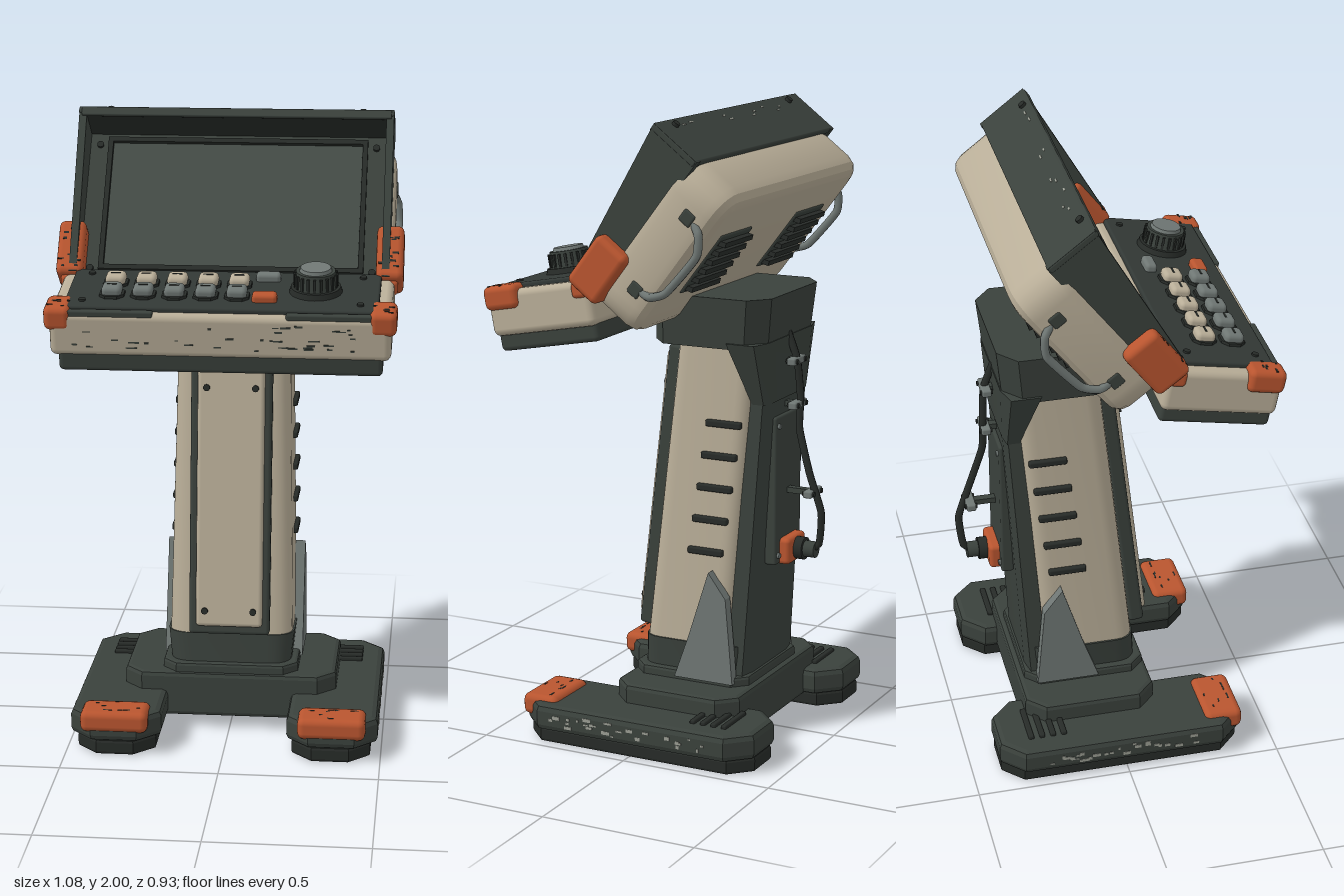
import * as THREE from 'three';
import { toCreasedNormals } from 'three/addons/utils/BufferGeometryUtils.js';
import { RoundedBoxGeometry } from 'three/addons/geometries/RoundedBoxGeometry.js';

const paint = (name, color) => Object.assign(new THREE.MeshStandardMaterial({ color }), { name });
const dark = paint('dark green grey', 0x3a413c), black = paint('near black', 0x272b28);
const panelGrey = paint('panel grey', 0x323835), glass = paint('screen', 0x444c46);
const beige = paint('beige', 0xb9ae98), orange = paint('orange', 0xb9552f);
const grey = paint('steel grey', 0x6f7774), worn = paint('worn metal', 0x9a9c92);

let seed = 7;
const rnd = () => (seed = (seed * 16807) % 2147483647) / 2147483647;
const span = (a, b) => a + (b - a) * rnd();
const lerp = THREE.MathUtils.lerp;

function add(parent, name, geo, mat, x = 0, y = 0, z = 0) {
  const m = new THREE.Mesh(geo, mat);
  m.name = name;
  m.position.set(x, y, z);
  parent.add(m);
  return m;
}
const box = (w, h, d, r = 0.012) => new RoundedBoxGeometry(w, h, d, 2, Math.min(r, w * 0.45, h * 0.45, d * 0.45));
const plain = (w, h, d) => new THREE.BoxGeometry(w, h, d);
const rod = (r1, r2, h, n = 20) => new THREE.CylinderGeometry(r1, r2, h, n);
const pair = (fn) => [-1, 1].forEach(fn);

// Rectangle outline with cut or rounded corners
function outline(w, d, cut, round) {
  const s = new THREE.Shape(), a = w / 2, b = d / 2;
  const corner = (cx, cy, x, y) => round ? s.quadraticCurveTo(cx, cy, x, y) : s.lineTo(x, y);
  s.moveTo(-a + cut, -b); s.lineTo(a - cut, -b); corner(a, -b, a, -b + cut);
  s.lineTo(a, b - cut); corner(a, b, a - cut, b);
  s.lineTo(-a + cut, b); corner(-a, b, -a, b - cut);
  s.lineTo(-a, -b + cut); corner(-a, -b, -a + cut, -b);
  return s;
}
// Horizontal slab with cut corners and bevelled rims, resting on y = 0
function slab(w, h, d, cut, bevel) {
  return new THREE.ExtrudeGeometry(outline(w - 2 * bevel, d - 2 * bevel, cut, false), {
    depth: h - 2 * bevel, bevelSize: bevel, bevelThickness: bevel, bevelSegments: 2,
  }).rotateX(-Math.PI / 2).translate(0, bevel, 0);
}
// Column whose half width and front/back depth blend between two levels [y, halfWidth, zBack, zFront]
function tapered(a, b, corner = 0.2, round = true) {
  const g = new THREE.ExtrudeGeometry(outline(1, 1, corner, round), { depth: 1, bevelEnabled: false, curveSegments: 6 });
  g.rotateX(-Math.PI / 2);
  const p = g.attributes.position;
  for (let i = 0; i < p.count; i++) {
    const t = p.getY(i), v = a.map((q, k) => lerp(q, b[k], t));
    p.setXYZ(i, p.getX(i) * 2 * v[1], v[0], lerp(v[2], v[3], p.getZ(i) + 0.5));
  }
  return toCreasedNormals(g, 0.6);
}
// Plate in the side plane from [z, y] points
function sidePlate(pts, thick) {
  const s = new THREE.Shape(pts.map(([z, y]) => new THREE.Vector2(-z, y)));
  return new THREE.ExtrudeGeometry(s, { depth: thick, bevelEnabled: false })
    .rotateY(Math.PI / 2).translate(-thick / 2, 0, 0);
}
const tube = (pts, r) => new THREE.TubeGeometry(
  new THREE.CatmullRomCurve3(pts.map((p) => new THREE.Vector3(...p)), false, 'catmullrom', 0.25), 40, r, 8);

function buildBase(g) {
  pair((s) => {
    add(g, 'footPad', slab(0.25, 0.05, 0.79, 0.06, 0.01), black, s * 0.342, 0, -0.013);
    add(g, 'foot', slab(0.29, 0.085, 0.8, 0.06, 0.02), dark, s * 0.345, 0.045, -0.013);
    add(g, 'footCap', box(0.215, 0.07, 0.125, 0.022), orange, s * 0.345, 0.11, 0.33);
    for (let i = 0; i < 4; i++) add(g, 'footRib', box(0.15, 0.016, 0.018, 0.005), black, s * 0.345, 0.133, -0.2 - i * 0.036);
    for (let i = 0; i < 26; i++)
      add(g, 'footWear', plain(0.003, span(0.004, 0.012), span(0.006, 0.028)), worn, s * 0.49, span(0.068, 0.108), span(-0.3, 0.27));
    for (let i = 0; i < 7; i++)
      add(g, 'capWear', plain(span(0.01, 0.03), 0.003, 0.005), black, s * span(0.27, 0.42), 0.1445, span(0.29, 0.37));
  });
  add(g, 'bridge', slab(0.69, 0.15, 0.43, 0.05, 0.015), dark, 0, 0.04, -0.085);
  add(g, 'collar', slab(0.44, 0.04, 0.4, 0.04, 0.01), dark, 0, 0.18, -0.08);
}

function buildColumn(g) {
  add(g, 'columnShell', tapered([0.3, 0.2, -0.22, 0.09], [1.3, 0.18, -0.3, -0.02]), beige);
  add(g, 'columnBoot', tapered([0.2, 0.195, -0.262, 0.1], [0.315, 0.206, -0.26, 0.092]), dark);
  add(g, 'spine', tapered([0.2, 0.185, -0.27, -0.19], [1.3, 0.155, -0.335, -0.275], 0.15, false), dark);
  add(g, 'spineFlare', tapered([1.1, 0.16, -0.325, -0.27], [1.3, 0.23, -0.335, -0.2], 0.15, false), dark);
  add(g, 'columnHead', tapered([1.28, 0.22, -0.33, 0.055], [1.44, 0.235, -0.347, 0.05], 0.14, false), dark);

  // Long front cover leaning with the shell
  const cover = new THREE.Group();
  cover.name = 'frontCover';
  cover.position.set(0, 0.79, 0.04);
  cover.rotation.x = -0.118;
  g.add(cover);
  add(cover, 'coverFrame', box(0.26, 0.94, 0.05, 0.012), dark, 0, 0, 0.018);
  add(cover, 'coverPanel', box(0.215, 0.885, 0.03, 0.014), beige, 0, 0, 0.043);
  pair((s) => pair((t) => add(cover, 'coverScrew', rod(0.011, 0.011, 0.01, 10).rotateX(Math.PI / 2), black,
    s * 0.078, t > 0 ? 0.335 : -0.39, 0.06)));

  pair((s) => {
    for (let i = 0; i < 5; i++) {
      const y = 0.62 + i * 0.104;
      add(g, 'sideVent', box(0.02, 0.022, 0.122, 0.006), black, s * (0.198 - i * 0.002), y, -0.137 - i * 0.0145);
    }
    add(g, 'gusset', sidePlate([[-0.04, 0.2], [-0.09, 0.34], [-0.16, 0.56], [-0.22, 0.48], [-0.245, 0.2]], 0.035), grey, s * 0.21, 0, 0);
  });
}

function buildCable(g) {
  add(g, 'rearPlate', box(0.19, 0.48, 0.04, 0.008), dark, 0, 0.81, -0.312);
  pair((s) => pair((t) => add(g, 'plateScrew', rod(0.009, 0.009, 0.01, 10).rotateX(Math.PI / 2), grey, s * 0.078, 0.81 + t * 0.21, -0.334)));
  add(g, 'socket', box(0.13, 0.085, 0.07, 0.014), orange, 0, 0.61, -0.33);
  add(g, 'plugRing', rod(0.036, 0.036, 0.03).rotateX(Math.PI / 2), black, 0, 0.612, -0.378);
  add(g, 'plug', rod(0.026, 0.026, 0.06).rotateX(Math.PI / 2), dark, 0, 0.612, -0.4);
  add(g, 'cable', tube([[0, 0.612, -0.41], [0, 0.635, -0.44], [0.01, 0.74, -0.45], [0.012, 0.86, -0.41], [0, 1.0, -0.368],
    [-0.01, 1.1, -0.366], [0, 1.22, -0.358], [0, 1.31, -0.325]], 0.012), black);
  [[0.8, -0.415], [1.08, -0.36], [1.22, -0.355]].forEach(([y, z]) => {
    add(g, 'cableClip', box(0.09, 0.024, 0.03, 0.006), grey, 0, y, z);
    add(g, 'clipStem', plain(0.025, 0.018, -0.29 - z), dark, 0, y, (z - 0.3) / 2);
    pair((s) => add(g, 'clipBolt', rod(0.008, 0.008, 0.04, 8).rotateX(Math.PI / 2), black, s * 0.03, y, z));
  });
}

function buildConsole(root) {
  const g = new THREE.Group();
  g.name = 'controlConsole';
  g.position.set(0, 1.295, 0.25);
  g.rotation.x = 0.183;
  root.add(g);
  add(g, 'consoleTray', box(0.98, 0.07, 0.35, 0.015), dark, 0, 0.035, 0);
  add(g, 'consoleBody', box(1.03, 0.14, 0.365, 0.022), beige, 0, 0.12, -0.002);
  add(g, 'controlPanel', box(0.95, 0.03, 0.305, 0.008), panelGrey, 0, 0.19, 0.002);
  pair((s) => {
    add(g, 'frontRail', box(0.3, 0.022, 0.022, 0.006), dark, s * 0.35, 0.187, 0.166);
    add(g, 'cornerBumper', box(0.082, 0.075, 0.118, 0.02), orange, s * 0.49, 0.17, 0.125);
    add(g, 'rearBumper', box(0.07, 0.05, 0.05, 0.014), orange, s * 0.49, 0.165, -0.15);
    for (let i = 0; i < 6; i++)
      add(g, 'bumperWear', plain(span(0.008, 0.02), 0.003, 0.006), black, s * span(0.46, 0.515), 0.207, span(0.085, 0.165));
    pair((t) => add(g, 'panelScrew', rod(0.011, 0.011, 0.008, 10), black, s * 0.42, 0.207, t * 0.108));
  });
  for (let i = 0; i < 34; i++)
    add(g, 'frontWear', plain(span(0.008, 0.035), span(0.003, 0.006), 0.003), dark, span(-0.44, 0.44), span(0.08, 0.165), 0.1805);

  // Two rows of keys
  for (let i = 0; i < 5; i++) [[-0.033, beige], [0.058, grey]].forEach(([z, mat]) => {
    const x = -0.335 + i * 0.095;
    add(g, 'keyWell', slab(0.076, 0.014, 0.076, 0.018, 0.003), black, x, 0.2, z);
    add(g, 'key', box(0.062, 0.035, 0.062, 0.015), mat, x, 0.222, z);
    add(g, 'keyMark', plain(0.03, 0.003, 0.006), black, x, 0.2395, z);
  });
  add(g, 'greyKey', box(0.076, 0.035, 0.038, 0.012), grey, 0.13, 0.212, -0.084);
  add(g, 'orangeKey', box(0.076, 0.035, 0.045, 0.012), orange, 0.13, 0.212, 0.08);

  // Ribbed control knob
  add(g, 'knobBase', rod(0.076, 0.082, 0.02, 32), black, 0.28, 0.212, 0);
  add(g, 'knob', rod(0.06, 0.066, 0.055, 32), dark, 0.28, 0.245, 0);
  for (let i = 0; i < 20; i++) {
    const a = i / 20 * Math.PI * 2;
    add(g, 'knobRib', plain(0.008, 0.04, 0.008), black, 0.28 + Math.cos(a) * 0.064, 0.245, Math.sin(a) * 0.064).rotation.y = -a;
  }
  add(g, 'knobTop', rod(0.046, 0.05, 0.012, 32), grey, 0.28, 0.277, 0);
}

function buildDisplay(root) {
  const g = new THREE.Group();
  g.name = 'display';
  g.position.set(0, 1.447, 0.098);
  g.rotation.x = -0.655;
  root.add(g);
  const shell = new THREE.ExtrudeGeometry(outline(0.92, 0.46, 0.05, true), {
    depth: 0.1, bevelSize: 0.048, bevelThickness: 0.048, bevelSegments: 3, curveSegments: 5 });
  add(g, 'housing', toCreasedNormals(shell, 0.5), beige, 0, 0.275, -0.12);
  add(g, 'bezel', box(0.98, 0.55, 0.04, 0.01), dark, 0, 0.28, 0.012);
  add(g, 'screenSurround', plain(0.83, 0.47, 0.006), black, 0, 0.287, 0.033);
  add(g, 'screen', plain(0.795, 0.435, 0.006), glass, 0, 0.287, 0.036);
  pair((s) => {
    add(g, 'screenFrameSide', plain(0.016, 0.47, 0.02), black, s * 0.407, 0.287, 0.04);
    add(g, 'screenFrameRail', plain(0.83, 0.016, 0.02), black, 0, 0.287 + s * 0.227, 0.04);
    pair((t) => add(g, 'bezelScrew', rod(0.011, 0.011, 0.01, 10).rotateX(Math.PI / 2), black, s * 0.442, 0.28 + t * 0.22, 0.036));
  });

  // Sun hood
  add(g, 'hoodTop', box(1.0, 0.022, 0.175, 0.006), dark, 0, 0.555, 0.077);
  add(g, 'hoodLip', box(0.98, 0.03, 0.014, 0.004), dark, 0, 0.55, 0.16);
  add(g, 'hoodLining', plain(0.95, 0.004, 0.15), black, 0, 0.542, 0.08);
  pair((s) => {
    add(g, 'hoodCheek', sidePlate([[-0.012, 0.565], [0.164, 0.565], [0.095, 0.02], [0.0, 0.0], [-0.012, 0.06]], 0.024), dark, s * 0.486, 0, 0);
    add(g, 'hoodBolt', rod(0.012, 0.012, 0.014, 10), black, s * 0.4, 0.569, 0.14);
    add(g, 'hingeBumper', box(0.085, 0.186, 0.124, 0.02), orange, s * 0.498, 0.106, 0.036);
    for (let i = 0; i < 9; i++)
      add(g, 'bumperWear', plain(span(0.008, 0.022), span(0.004, 0.008), 0.003), black, s * span(0.47, 0.525), span(0.03, 0.18), 0.0975);
    add(g, 'handle', tube([[s * 0.49, 0.42, -0.1], [s * 0.512, 0.405, -0.15], [s * 0.515, 0.35, -0.185], [s * 0.515, 0.2, -0.175],
      [s * 0.512, 0.15, -0.14], [s * 0.49, 0.135, -0.09]], 0.013), grey);
    [0.42, 0.135].forEach((y) => add(g, 'handleFoot', box(0.03, 0.045, 0.045, 0.008), dark, s * 0.497, y, -0.09));

    // Rear louvres
    add(g, 'louvrePanel', box(0.21, 0.23, 0.012, 0.005), dark, s * 0.27, 0.28, -0.168);
    for (let i = 0; i < 6; i++)
      add(g, 'louvre', plain(0.19, 0.016, 0.03), black, s * 0.27, 0.19 + i * 0.036, -0.18).rotation.x = 0.4;
  });
  for (let i = 0; i < 9; i++)
    add(g, 'hoodWear', plain(span(0.008, 0.03), 0.003, 0.005), worn, span(-0.4, 0.4), 0.566, span(0.11, 0.155));
  add(g, 'hinge', rod(0.03, 0.03, 0.92, 16).rotateZ(Math.PI / 2), black, 0, 0.0, 0.03);
}

export function createModel() {
  const model = new THREE.Group();
  model.name = 'controlTerminal';
  [buildBase, buildColumn, buildCable, buildConsole, buildDisplay].forEach((build) => build(model));
  return model;
}
